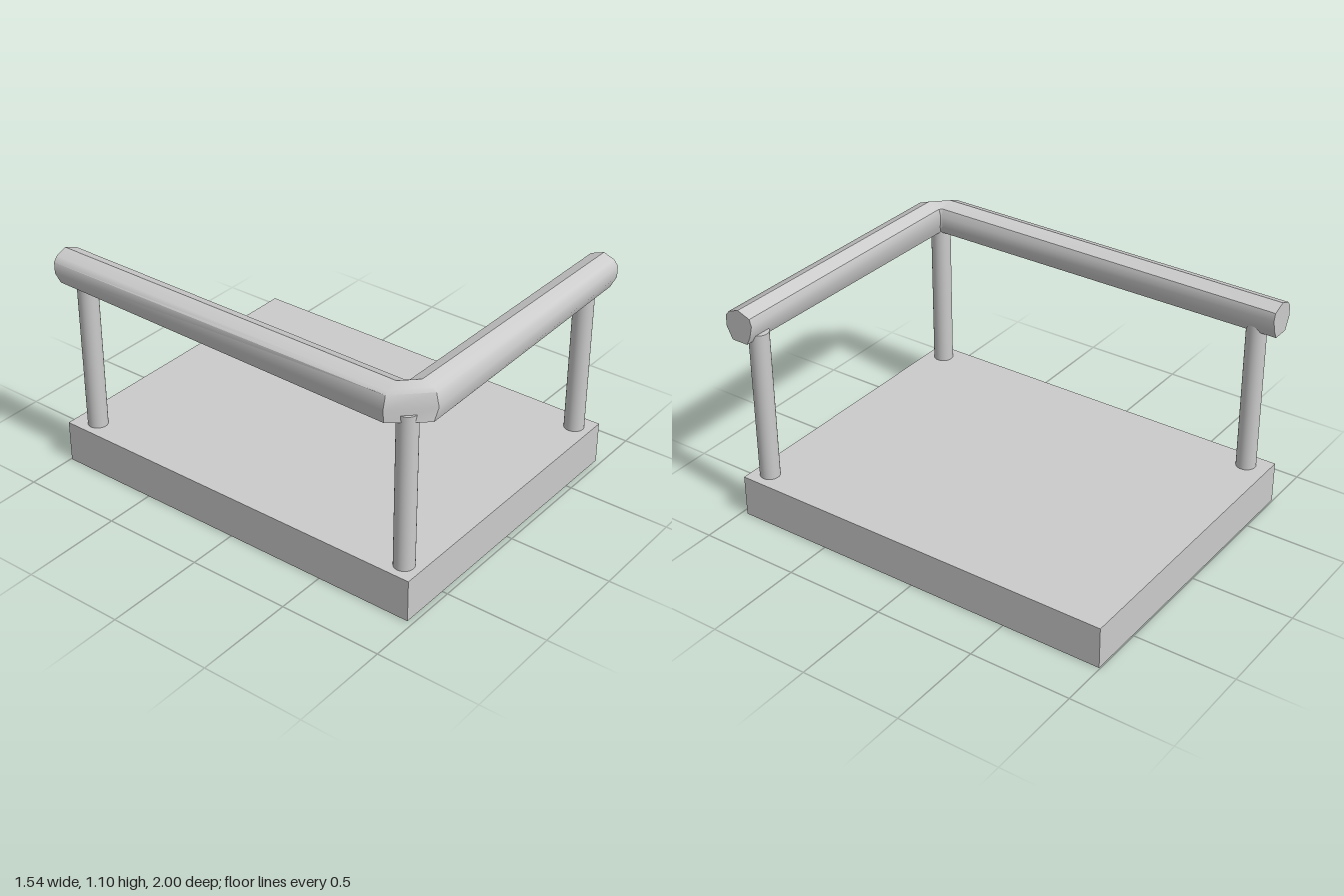
import * as THREE from 'three';
import { toCreasedNormals } from 'three/addons/utils/BufferGeometryUtils.js';

// Rail sections as [distance outward from the inner side, height], top first
const END = [[0.075, 1.1], [0.13, 1.08], [0.15, 1.055], [0.15, 1.0], [0.12, 0.94],
  [0.035, 0.94], [0.015, 0.98], [0, 1.04], [0.01, 1.075]];
const CORNER = [[0.07, 1.1], [0.125, 1.08], [0.14, 1.065], [0.155, 1.0], [0.148, 0.94],
  [0.02, 0.94], [0.005, 0.98], [0, 1.04], [0.01, 1.075]];

// Joins equal-sized rings of points into a capped solid
function loft(rings) {
  const n = rings[0].length;
  const last = (rings.length - 1) * n;
  const index = [];
  for (let r = 0; r < last; r += n) {
    for (let j = 0; j < n; j++) {
      const k = (j + 1) % n;
      index.push(r + j, r + k, r + n + j, r + k, r + n + k, r + n + j);
    }
  }
  for (let j = 1; j < n - 1; j++) {
    index.push(0, j + 1, j, last, last + j, last + j + 1);
  }
  const geometry = new THREE.BufferGeometry();
  geometry.setAttribute('position', new THREE.Float32BufferAttribute(rings.flat(2), 3));
  geometry.setIndex(index);
  return toCreasedNormals(geometry, 0.7);
}

export function createModel() {
  const group = new THREE.Group();
  const material = new THREE.MeshStandardMaterial({ color: 0xcccccc });
  const add = (name, geometry, x = 0, y = 0, z = 0) => {
    const mesh = new THREE.Mesh(geometry, material);
    mesh.name = name;
    mesh.position.set(x, y, z);
    group.add(mesh);
  };

  // Floor slab
  add('base', new THREE.BoxGeometry(1.52, 0.207, 1.968), 0.006, 0.1035, -0.011);

  // Three round posts, ending just inside the rail
  const post = new THREE.CylinderGeometry(0.048, 0.048, 0.77, 32);
  add('cornerPost', post, -0.67, 0.585, 0.89);
  add('frontPost', post, 0.677, 0.585, 0.89);
  add('backPost', post, -0.67, 0.585, -0.885);

  // L-shaped rail with a bevelled corner that pivots about its inner side
  add('handrail', loft([
    END.map(([o, y]) => [-0.603 - o, y, -1]),
    CORNER.map(([o, y]) => [-0.615 - o, y, 0.84]),
    CORNER.map(([o, y]) => [y < 0.95 ? -0.635 : -0.612, y, 0.845 + o]),
    END.map(([o, y]) => [0.762, y, 0.85 + o]),
  ]));

  return group;
}
